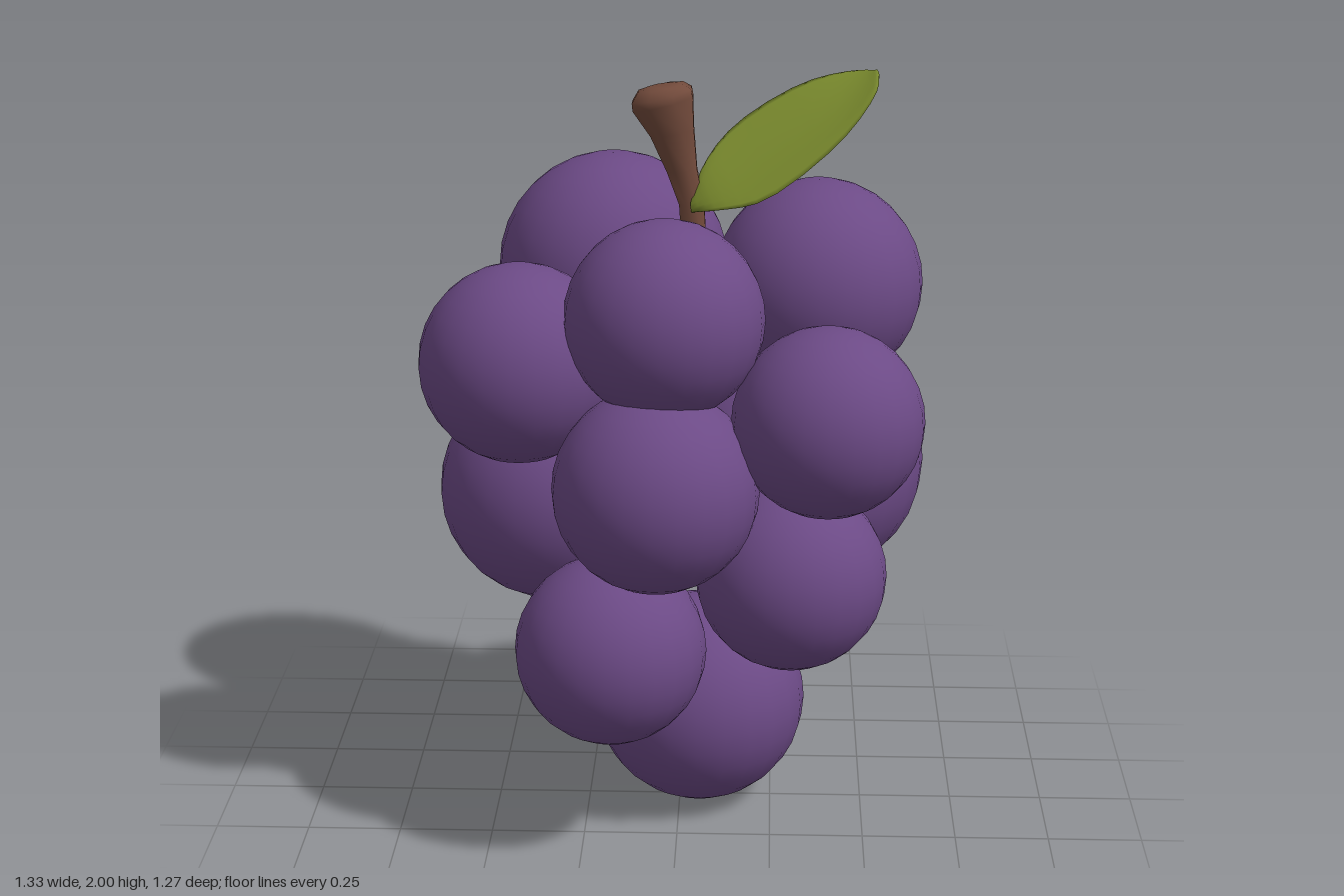
import * as THREE from 'three';

const V = (x, y, z) => new THREE.Vector3(x, y, z);

// Closed skin over rings of points, each ring counter-clockwise about the direction of travel
function loft(rings) {
  const n = rings[0].length, pos = [], idx = [];
  rings.forEach(ring => ring.forEach(p => pos.push(p.x, p.y, p.z)));
  for (let i = 0; i < rings.length - 1; i++) {
    for (let j = 0; j < n; j++) {
      const k = (j + 1) % n, a = i * n + j, b = i * n + k;
      idx.push(a, b, a + n, b, b + n, a + n);
    }
  }
  const last = (rings.length - 1) * n;
  for (let j = 1; j < n - 1; j++) {
    idx.push(0, j + 1, j, last, last + j, last + j + 1);
  }
  const geo = new THREE.BufferGeometry();
  geo.setAttribute('position', new THREE.Float32BufferAttribute(pos, 3));
  geo.setIndex(idx);
  geo.computeVertexNormals();
  return geo;
}

function makeMaterial(name, color) {
  const m = new THREE.MeshStandardMaterial({ color });
  m.name = name;
  return m;
}

export function createModel() {
  const purple = makeMaterial('grape purple', 0x6c4a86);
  const brown = makeMaterial('stem brown', 0x734b3c);
  const green = makeMaterial('leaf green', 0x76862c);
  const model = new THREE.Group();
  model.name = 'grapeBunch';

  const add = (name, geo, mat, parent = model) => {
    const mesh = new THREE.Mesh(geo, mat);
    mesh.name = name;
    parent.add(mesh);
    return mesh;
  };

  // Grapes: name, centre x y z, radius, optional height factor
  const grapes = new THREE.Group();
  grapes.name = 'grapes';
  model.add(grapes);
  [
    ['topFrontGrape', -0.03, 1.45, 0.285, 0.255],
    ['topBackGrape', -0.19, 1.44, -0.295, 0.312],
    ['topLeftGrape', 0.36, 1.465, -0.04, 0.275],
    ['upperRightGrape', -0.41, 1.3, 0.17, 0.26],
    ['upperLeftGrape', 0.385, 1.2, 0.335, 0.245],
    ['middleFrontGrape', -0.05, 1.025, 0.368, 0.265],
    ['middleRightGrape', -0.345, 0.89, -0.04, 0.303],
    ['middleBackGrape', -0.2, 0.915, -0.315, 0.322],
    ['largeBackGrape', 0.297, 0.9, -0.275, 0.367, 0.94],
    ['lowerFrontGrape', -0.17, 0.57, 0.325, 0.25],
    ['lowerLeftGrape', 0.298, 0.745, 0.228, 0.25],
    ['bottomGrape', 0.053, 0.288, -0.027, 0.288],
  ].forEach(([name, x, y, z, r, tall = 1]) => {
    const grape = add(name, new THREE.SphereGeometry(r, 24, 16), purple, grapes);
    grape.position.set(x, y, z);
    grape.scale.y = tall;
  });

  // Stem: eight-sided, curving and flaring to a tilted, softly rounded end
  // Rows: centre x, centre y, radius, tilt
  const stemRings = [
    [0.05, 1.35, 0.035, 0],
    [0.03, 1.68, 0.035, 0],
    [0.005, 1.77, 0.042, 0.1],
    [-0.02, 1.87, 0.06, 0.2],
    [-0.044, 1.945, 0.083, 0.25],
    [-0.047, 1.965, 0.082, 0.25],
    [-0.05, 1.985, 0.062, 0.2],
    [-0.05, 1.99, 0.03, 0.15],
  ].map(([x, y, r, tilt]) => Array.from({ length: 8 }, (_, j) => {
    const a = (j + 0.5) / 8 * Math.PI * 2, dx = r * Math.sin(a);
    return V(x + dx, y + dx * tilt, 0.85 * r * Math.cos(a) - 0.005);
  }));
  add('stem', loft(stemRings), brown);

  // Leaf: front and back edge curves joined by thin, cupped cross-sections
  const frontEdge = new THREE.CatmullRomCurve3([
    V(0.03, 1.67, 0.035), V(0.1, 1.685, 0.085), V(0.215, 1.715, 0.107),
    V(0.41, 1.845, 0), V(0.505, 1.95, -0.12), V(0.515, 1.985, -0.2),
  ]);
  const backEdge = new THREE.CatmullRomCurve3([
    V(0.03, 1.69, 0.02), V(0.055, 1.77, -0.02), V(0.135, 1.865, -0.1),
    V(0.32, 1.965, -0.19), V(0.46, 1.99, -0.232), V(0.508, 1.99, -0.215),
  ]);
  const up = V(-0.17, 0.75, 0.64).normalize();
  const stations = 16, sides = 14;
  const leafRings = Array.from({ length: stations + 1 }, (_, i) => {
    const s = i / stations;
    const f = frontEdge.getPoint(s), b = backEdge.getPoint(s);
    const width = f.distanceTo(b);
    return Array.from({ length: sides }, (_, j) => {
      const a = j / sides * Math.PI * 2, across = Math.cos(a);
      const lift = 0.014 * Math.sin(a) - 0.1 * width * (1 - across * across);
      return f.clone().lerp(b, 0.5 + 0.5 * across).addScaledVector(up, lift);
    });
  });
  add('leaf', loft(leafRings), green);

  return model;
}
